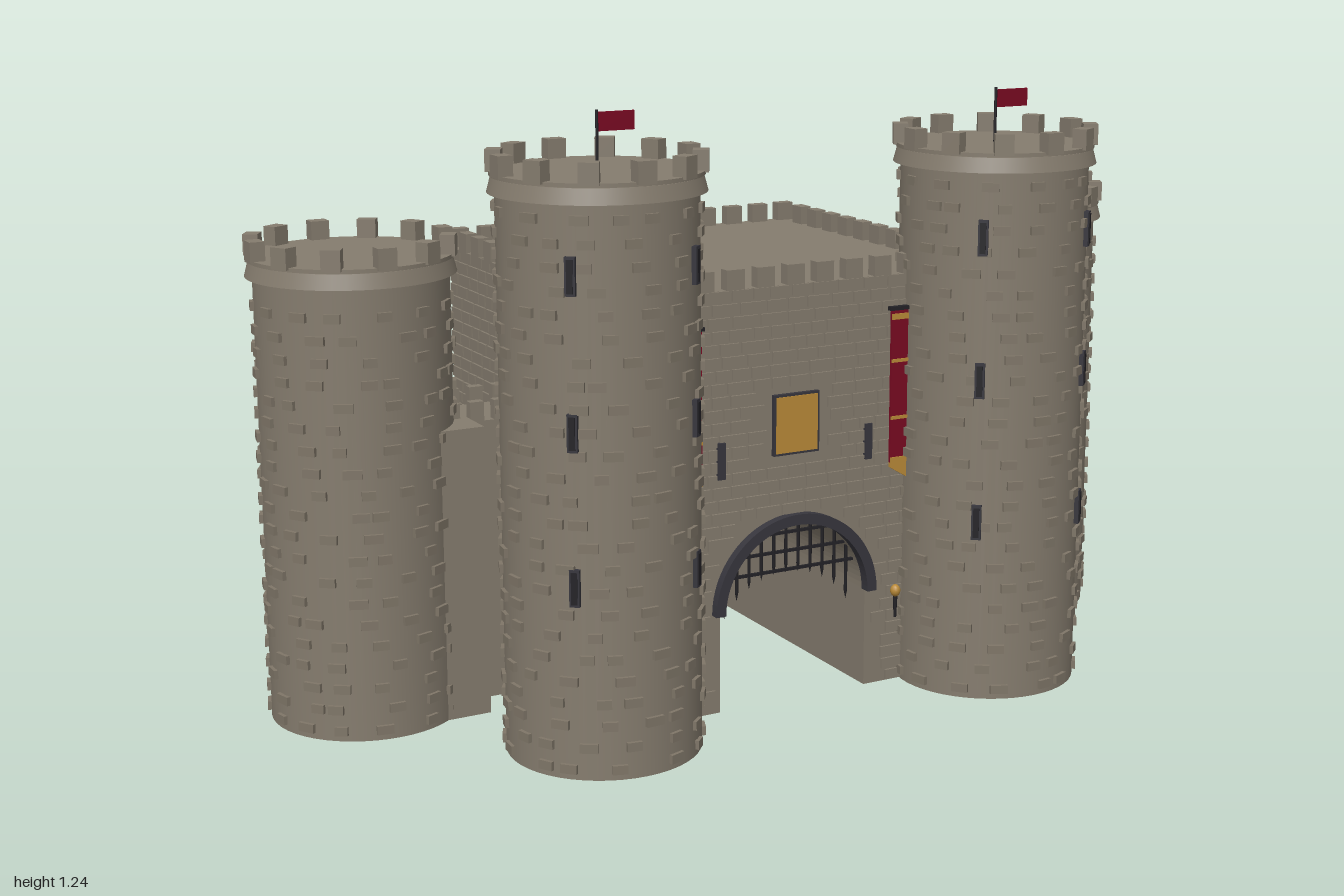
import * as THREE from 'three';
import { mergeGeometries } from 'three/addons/utils/BufferGeometryUtils.js';

const mat = (name, color) => Object.assign(new THREE.MeshStandardMaterial({ color }), { name });

// Seeded random for irregular masonry
let seed = 7;
const rnd = () => (seed = (seed * 16807) % 2147483647) / 2147483647;

const box = (w, h, d, x, y, z) => new THREE.BoxGeometry(w, h, d).translate(x, y, z);

export function createModel() {
  const stone = mat('stone', 0x857c6e);
  const paleStone = mat('raised stone', 0x7f7668);
  const charcoal = mat('charcoal trim', 0x37363d);
  const iron = mat('dark iron', 0x232226);
  const red = mat('red cloth', 0x7a0a22);
  const gold = mat('gold', 0xb98a38);

  const model = new THREE.Group();
  model.name = 'castle';
  const add = (parent, name, geo, material) => {
    const m = new THREE.Mesh(Array.isArray(geo) ? mergeGeometries(geo) : geo, material);
    m.name = name;
    parent.add(m);
    return m;
  };

  // Round tower: shaft, collar, merlons and scattered raised stones
  const R = 0.192;
  function tower(name, x, z, height) {
    const g = new THREE.Group();
    g.name = name;
    g.position.set(x, 0, z);
    model.add(g);
    add(g, 'shaft', new THREE.CylinderGeometry(R, R, height, 48).translate(0, height / 2, 0), stone);
    const c = height - 0.035;
    add(g, 'collar', [
      new THREE.CylinderGeometry(0.199, 0.207, 0.03, 48).translate(0, c + 0.015, 0),
      new THREE.CylinderGeometry(0.202, 0.202, 0.008, 48).translate(0, height, 0),
    ], stone);
    const merlons = [];
    for (let i = 0; i < 12; i++) {
      merlons.push(box(0.038, 0.042, 0.03, 0, height + 0.021, 0.193).rotateY(i * Math.PI / 6));
    }
    add(g, 'merlons', merlons, stone);
    const stones = [];
    for (let y = 0.022; y < c - 0.015; y += 0.0435) {
      const start = rnd() * 6.28;
      for (let i = 0; i < 14; i++) {
        const a = start + (i + (rnd() - 0.5) * 0.6) * Math.PI / 7;
        stones.push(box(0.026 + rnd() * 0.012, 0.018, 0.014, 0, y, R).rotateY(a));
      }
    }
    add(g, 'raisedStones', stones, paleStone);
    return g;
  }

  for (const s of [1, -1]) {
    const side = s > 0 ? 'left' : 'right';
    const front = tower(side + 'FrontTower', s * 0.45, 0.302, 1.13);
    tower(side + 'SideTower', s * 0.79, -0.112, 0.94);

    // Arrow slits on the front tower
    const slits = [], frames = [];
    for (const y of [0.38, 0.675, 0.965]) for (const a of [0.71, -0.71]) {
      slits.push(box(0.012, 0.062, 0.02, 0, y, R + 0.001).rotateY(a));
      frames.push(box(0.02, 0.072, 0.018, 0, y, R).rotateY(a));
    }
    add(front, 'arrowSlits', slits, iron);
    add(front, 'slitFrames', frames, charcoal);

    // Flag on the tower roof
    add(front, 'flagPole', new THREE.CylinderGeometry(0.003, 0.003, 0.115, 8).translate(0, 1.187, 0), iron);
    add(front, 'flag', box(0.075, 0.036, 0.004, 0.04, 1.222, 0), red);

    // Linking wall with merlons, and the pier where it meets the side tower
    add(model, side + 'LinkWall', box(0.24, 0.59, 0.15, s * 0.53, 0.295, -0.12), stone);
    const link = [];
    for (let i = 0; i < 4; i++) for (const z of [-0.185, -0.055]) {
      link.push(box(0.03, 0.04, 0.02, s * (0.455 + i * 0.052), 0.61, z));
    }
    add(model, side + 'LinkMerlons', link, stone);
    add(model, side + 'Pier', box(0.1, 0.6, 0.31, s * 0.63, 0.3, -0.115), stone);

    // Banners, front and back
    for (const [where, x, z, n] of [['Front', 0.27, 0.28, 1], ['Back', 0.27, -0.508, -1]]) {
      add(model, side + where + 'Banner', box(0.1, 0.33, 0.006, s * x, 0.635, z), red);
      const bands = [0.695, 0.575].map((y) => box(0.1, 0.007, 0.003, s * x, y, z + n * 0.004));
      if (n > 0) {
        bands.push(box(0.1, 0.012, 0.003, s * x, 0.787, z + 0.004), box(0.1, 0.012, 0.003, s * x, 0.485, z + 0.004));
        const tail = new THREE.Shape([[-0.05, 0.47], [0, 0.44], [0.05, 0.47], [0.05, 0.48], [-0.05, 0.48]]
          .map((p) => new THREE.Vector2(...p)));
        add(model, side + 'BannerFringe',
          new THREE.ExtrudeGeometry(tail, { depth: 0.006, bevelEnabled: false }).translate(s * x, 0, z - 0.002), gold);
        add(model, side + 'BannerRod', box(0.11, 0.008, 0.012, s * x, 0.804, z), iron);
      }
      add(model, side + where + 'BannerBands', bands, gold);
    }

    // Gate wall slit and torch
    add(model, side + 'GateSlit', box(0.016, 0.075, 0.014, s * 0.172, 0.53, 0.27), charcoal);
    add(model, side + 'TorchHandle', new THREE.CylinderGeometry(0.005, 0.003, 0.05, 8).translate(s * 0.235, 0.17, 0.288), iron);
    add(model, side + 'TorchFlame', new THREE.SphereGeometry(0.011, 12, 8).scale(1, 1.2, 1).translate(s * 0.235, 0.203, 0.288), gold);
  }

  // Keep, with an arched passage from front to back
  const AR = 0.172, AY = 0.21;
  const body = new THREE.Shape();
  body.moveTo(-0.425, 0).lineTo(-AR, 0).lineTo(-AR, AY);
  body.absarc(0, AY, AR, Math.PI, 0, true);
  body.lineTo(AR, 0).lineTo(0.425, 0).lineTo(0.425, 0.872).lineTo(-0.425, 0.872);
  add(model, 'keep', new THREE.ExtrudeGeometry(body, { depth: 0.764, bevelEnabled: false, curveSegments: 24 })
    .translate(0, 0, -0.497), stone);

  // Brick courses: each wall is laid facing +z, then turned into place
  const overlapsGate = (x, y) => x < AR + 0.004 && (y < AY || Math.hypot(x, y - AY) < 0.192);
  function bricks(name, width, angle, px, pz, gate) {
    const list = [];
    for (let y = 0.013; y < 0.865; y += 0.0265) {
      let x = -width / 2;
      while (x < width / 2 - 0.012) {
        const w = Math.min(0.036 + rnd() * 0.03, width / 2 - x);
        const near = x < 0 && x + w > 0 ? 0 : Math.min(Math.abs(x), Math.abs(x + w));
        const patch = near < 0.062 && y > 0.515 && y < 0.665;
        if (!gate || !(overlapsGate(near, y) || patch)) {
          list.push(box(w - 0.006, 0.0215, 0.01, x + w / 2, y, 0));
        }
        x += w;
      }
    }
    add(model, name, mergeGeometries(list).rotateY(angle).translate(px, 0, pz), stone);
  }
  bricks('frontBricks', 0.6, 0, 0, 0.267, true);
  bricks('backBricks', 0.85, Math.PI, 0, -0.497, true);
  bricks('leftBricks', 0.76, Math.PI / 2, 0.425, -0.115, false);
  bricks('rightBricks', 0.76, -Math.PI / 2, -0.425, -0.115, false);

  // Keep merlons
  const merlons = [];
  for (let i = 0; i < 13; i++) {
    const x = -0.41 + i * 0.82 / 12;
    merlons.push(box(0.04, 0.045, 0.025, x, 0.89, 0.257), box(0.04, 0.045, 0.025, x, 0.89, -0.489));
  }
  for (let i = 1; i < 11; i++) for (const x of [-0.418, 0.418]) {
    merlons.push(box(0.025, 0.045, 0.04, x, 0.89, -0.483 + i * 0.736 / 11));
  }
  add(model, 'keepMerlons', merlons, stone);

  // Arch trim at both ends of the passage
  const ring = new THREE.Shape();
  ring.absarc(0, AY, 0.19, 0, Math.PI, false);
  ring.absarc(0, AY, 0.168, Math.PI, 0, true);
  for (const [name, z] of [['frontArchTrim', 0.262], ['backArchTrim', -0.51]]) {
    add(model, name, new THREE.ExtrudeGeometry(ring, { depth: 0.024, bevelEnabled: false, curveSegments: 24 })
      .translate(0, 0, z), charcoal);
  }

  // Raised portcullis
  const bars = [];
  for (let i = -5; i <= 5; i++) {
    const x = i * 0.029, top = AY + Math.sqrt(AR * AR - x * x);
    bars.push(new THREE.CylinderGeometry(0.0035, 0.0035, 0.1, 6).translate(x, top - 0.05, 0.235));
    bars.push(new THREE.ConeGeometry(0.0035, 0.018, 6).rotateX(Math.PI).translate(x, top - 0.109, 0.235));
  }
  for (const y of [0.35, 0.31, 0.27]) {
    bars.push(box(2 * Math.sqrt(AR * AR - (y - AY) ** 2), 0.006, 0.006, 0, y, 0.235));
  }
  add(model, 'portcullis', bars, iron);

  // Window above the gate
  add(model, 'windowFrame', box(0.106, 0.126, 0.012, 0, 0.588, 0.27), charcoal);
  add(model, 'windowPane', box(0.096, 0.116, 0.006, 0, 0.588, 0.275), gold);

  return model;
}
